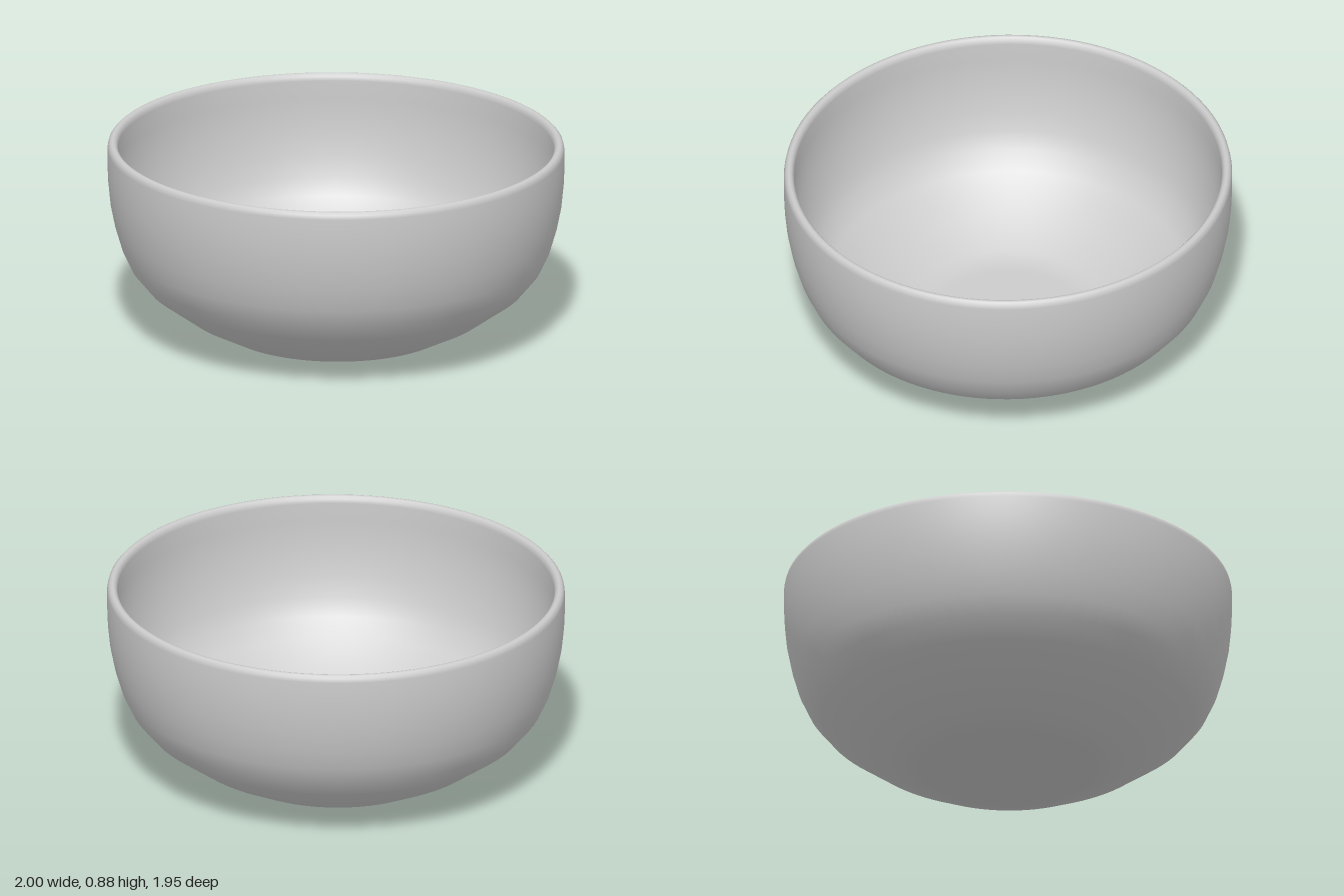
import * as THREE from 'three';

export function createModel() {
  const group = new THREE.Group();
  const material = new THREE.MeshStandardMaterial({ color: 0xcccccc, side: THREE.DoubleSide });

  // Outer wall, from the foot up to the rim [radius, height]
  const wall = [
    [0.43, 0.01], [0.5, 0.03], [0.66, 0.112], [0.83, 0.235], [0.9, 0.32],
    [0.94, 0.405], [0.968, 0.5], [0.988, 0.6], [0.997, 0.69], [1, 0.76],
  ];
  // Rounded lip
  const lip = [
    [1, 0.845], [0.996, 0.863], [0.987, 0.873], [0.977, 0.876],
    [0.967, 0.873], [0.958, 0.863], [0.954, 0.845],
  ];
  // Inner wall: the outer wall moved inwards by the thickness
  const thickness = 0.046;
  const inner = wall.map(([r, y], i) => {
    const a = wall[Math.max(i - 1, 0)], b = wall[Math.min(i + 1, wall.length - 1)];
    const dr = b[0] - a[0], dy = b[1] - a[1], len = Math.hypot(dr, dy);
    return [r - (dy / len) * thickness, y + (dr / len) * thickness];
  }).reverse();

  const profile = [[0, 0], [0.3, 0], [0.4, 0.004], ...wall, ...lip, ...inner, [0.36, 0.05], [0, 0.05]];
  const geometry = new THREE.LatheGeometry(profile.map(([r, y]) => new THREE.Vector2(r, y)), 96);
  // Slightly oval plan
  geometry.scale(1, 1, 0.975);

  const bowl = new THREE.Mesh(geometry, material);
  bowl.name = 'bowl';
  group.add(bowl);
  return group;
}
